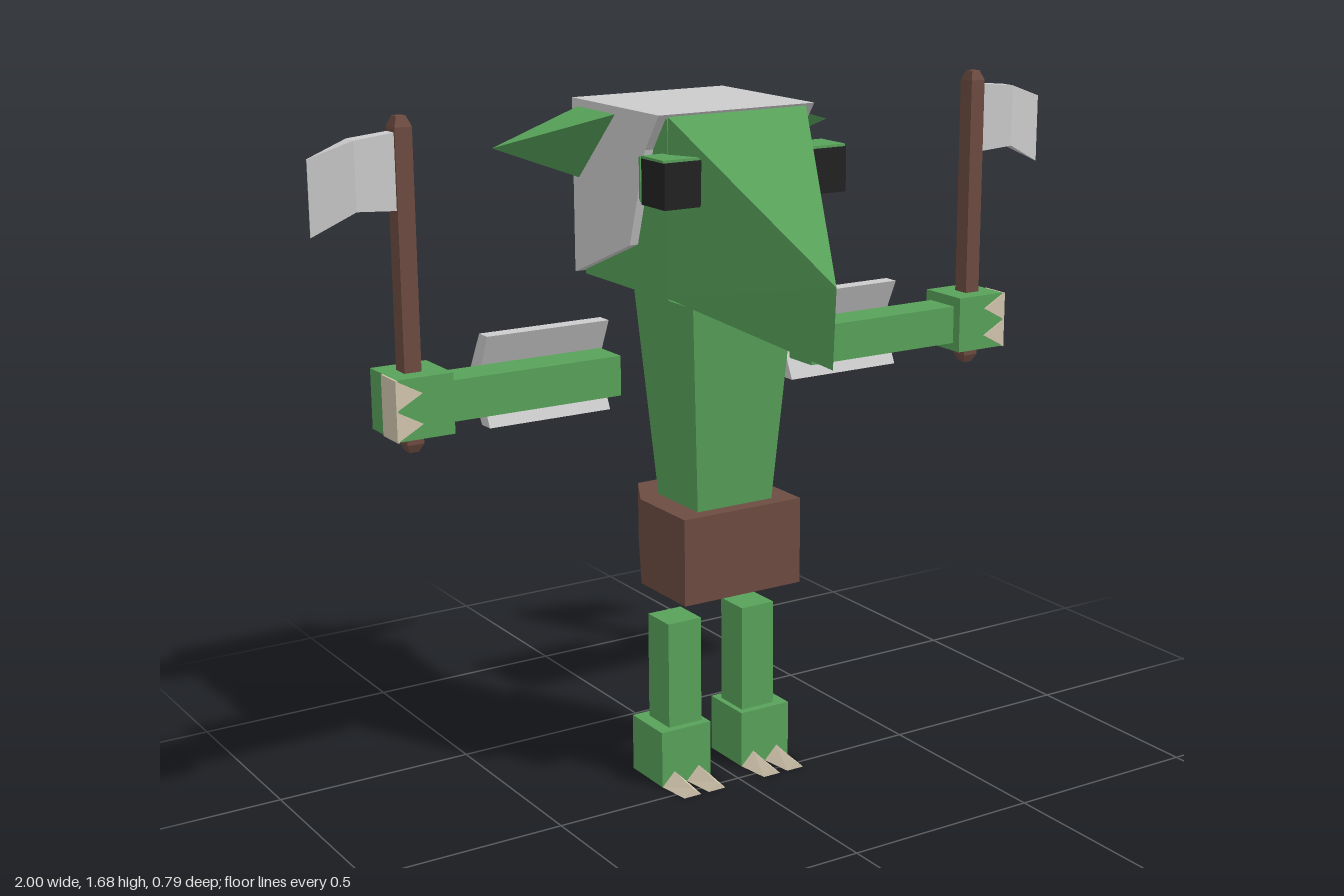
import * as THREE from 'three';

const mat = (name, color) => {
  const m = new THREE.MeshStandardMaterial({ color });
  m.name = name;
  return m;
};

// Flat-shaded solid through equal-length rings of [x, y, z], capped with fans from point 0
function loft(rings) {
  const n = rings[0].length, tris = [];
  for (let r = 0; r < rings.length - 1; r++) {
    const a = rings[r], b = rings[r + 1];
    for (let i = 0; i < n; i++) {
      const j = (i + 1) % n;
      tris.push([a[i], a[j], b[j]], [a[i], b[j], b[i]]);
    }
  }
  const first = rings[0], last = rings[rings.length - 1];
  for (let i = 1; i < n - 1; i++) {
    tris.push([first[0], first[i + 1], first[i]], [last[0], last[i], last[i + 1]]);
  }
  // Turn the faces outward whichever way the rings run
  const v = (p) => new THREE.Vector3(...p);
  let volume = 0;
  for (const [a, b, c] of tris) volume += v(a).dot(v(b).cross(v(c)));
  if (volume < 0) tris.forEach((t) => t.reverse());
  const g = new THREE.BufferGeometry();
  g.setAttribute('position', new THREE.Float32BufferAttribute(tris.flat(2), 3));
  g.computeVertexNormals();
  return g;
}

const rectY = (y, x0, x1, z0, z1) => [[x0, y, z0], [x1, y, z0], [x1, y, z1], [x0, y, z1]];
const rectX = (x, y0, y1, z0, z1) => [[x, y0, z0], [x, y1, z0], [x, y1, z1], [x, y0, z1]];
const mirror = (rings, s) => rings.map((ring) => ring.map(([x, y, z]) => [x * s, y, z]));
const box = (x0, x1, y0, y1, z0, z1) => [rectY(y0, x0, x1, z0, z1), rectY(y1, x0, x1, z0, z1)];

export function createModel() {
  const model = new THREE.Group();
  model.name = 'hatchetCreature';
  const green = mat('skin green', 0x58a25a);
  const grey = mat('metal grey', 0xcccccc);
  const brown = mat('wood brown', 0x6d4c41);
  const cream = mat('claw cream', 0xd2c6ae);
  const black = mat('eye black', 0x222222);

  const add = (name, rings, material, s = 1) => {
    const mesh = new THREE.Mesh(loft(mirror(rings, s)), material);
    mesh.name = name;
    model.add(mesh);
  };

  // Torso, wider at the shoulders
  add('torso', [
    rectY(0.7, -0.105, 0.105, -0.195, -0.015),
    rectY(1.21, -0.14, 0.14, -0.24, 0.025),
  ], green);

  // Hip wrap with a tapered back
  add('hipWrap', [
    rectX(0, 0.49, 0.705, 0, 0).map((_, i) =>
      [[-0.165, 0.49, 0.022], [0.165, 0.49, 0.022], [0.165, 0.705, 0.022], [-0.165, 0.705, 0.022]][i]),
    [[-0.165, 0.49, -0.18], [0.165, 0.49, -0.18], [0.165, 0.705, -0.18], [-0.165, 0.705, -0.18]],
    [[-0.1, 0.565, -0.302], [0.1, 0.565, -0.302], [0.1, 0.705, -0.302], [-0.1, 0.705, -0.302]],
  ], brown);

  // Skull and pointed snout
  add('skull', box(-0.19, 0.19, 1.23, 1.645, -0.385, 0), green);
  add('snout', [
    [[-0.195, 1.237, 0.005], [0, 1.12, 0.383], [0.195, 1.237, 0.005]],
    [[-0.188, 1.65, 0], [0, 1.308, 0.393], [0.188, 1.65, 0]],
  ], green);

  // Helmet: side profile carried across the head
  const helmet = [[1.655, -0.397], [1.655, 0], [1.57, -0.062], [1.34, -0.135], [1.235, -0.397]];
  add('helmet', [-0.212, 0.212].map((x) => helmet.map(([y, z]) => [x, y, z])), grey);

  for (const s of [1, -1]) {
    // Ear: three-sided spike
    const tip = [0.47, 1.564, -0.315];
    add('ear', [
      [[0.2, 1.64, -0.19], [0.2, 1.64, -0.373], [0.2, 1.463, -0.373]],
      [tip, tip, tip],
    ], green, s);

    // Eye with its socket and lid
    add('eye', box(0.15, 0.247, 1.455, 1.56, -0.02, 0.08), black, s);
    add('eyeSocket', [
      [[0.15, 1.46, -0.02], [0.25, 1.46, -0.02], [0.25, 1.565, -0.02], [0.15, 1.565, -0.02]],
      [[0.15, 1.46, -0.068], [0.225, 1.46, -0.068], [0.225, 1.555, -0.068], [0.15, 1.555, -0.068]],
    ], green, s);
    add('eyeLid', box(0.15, 0.247, 1.56, 1.566, -0.02, 0.075), green, s);

    // Arm and hand
    add('arm', box(0.27, 0.72, 1.0, 1.095, -0.18, -0.085), green, s);
    add('hand', box(0.71, 0.847, 0.98, 1.12, -0.198, -0.06), green, s);

    // Finger claws: end plate and two teeth folded over the front
    add('fingerPlate', box(0.847, 0.852, 0.98, 1.12, -0.13, -0.055), cream, s);
    for (const y of [0.98, 1.05]) {
      add('fingerClaw', [-0.06, -0.055].map((z) =>
        [[0.852, y, z], [0.852, y + 0.07, z], [0.788, y + 0.035, z]]), cream, s);
    }

    // Arm guard: bent plate behind the arm
    const guard = [[1.057, -0.205], [0.95, -0.155], [0.95, -0.195],
      [1.057, -0.255], [1.165, -0.195], [1.165, -0.155]];
    add('armGuard', [0.26, 0.577].map((x) => guard.map(([y, z]) => [x, y, z])), grey, s);

    // Hatchet handle with bevelled ends
    add('hatchetHandle', [
      rectY(0.935, 0.774, 0.797, -0.139, -0.116),
      rectY(0.955, 0.765, 0.806, -0.15, -0.106),
      rectY(1.66, 0.765, 0.806, -0.15, -0.106),
      rectY(1.683, 0.774, 0.797, -0.139, -0.116),
    ], brown, s);

    // Hatchet blade, thinning to the edge
    add('hatchetBlade', [
      [0.8, 1.48, 1.65, 0.017], [0.9, 1.487, 1.64, 0.02], [1.0, 1.438, 1.606, 0.001],
    ].map(([x, y0, y1, h]) => rectX(x, y0, y1, -0.128 - h, -0.128 + h)), grey, s);

    // Leg and foot
    add('leg', box(0.06, 0.153, 0.14, 0.412, -0.17, -0.075), green, s);
    add('foot', box(0.046, 0.186, 0, 0.143, -0.195, -0.055), green, s);

    // Toe claws: ridged wedges
    for (const x of [0.081, 0.151]) {
      add('toeClaw', [[-0.057, 0.035, 0.035], [0.03, 0.024, 0.02]].map(([z, w, h]) =>
        [[x - w, 0, z], [x + w, 0, z], [x, h, z]]), cream, s);
    }
  }
  return model;
}
